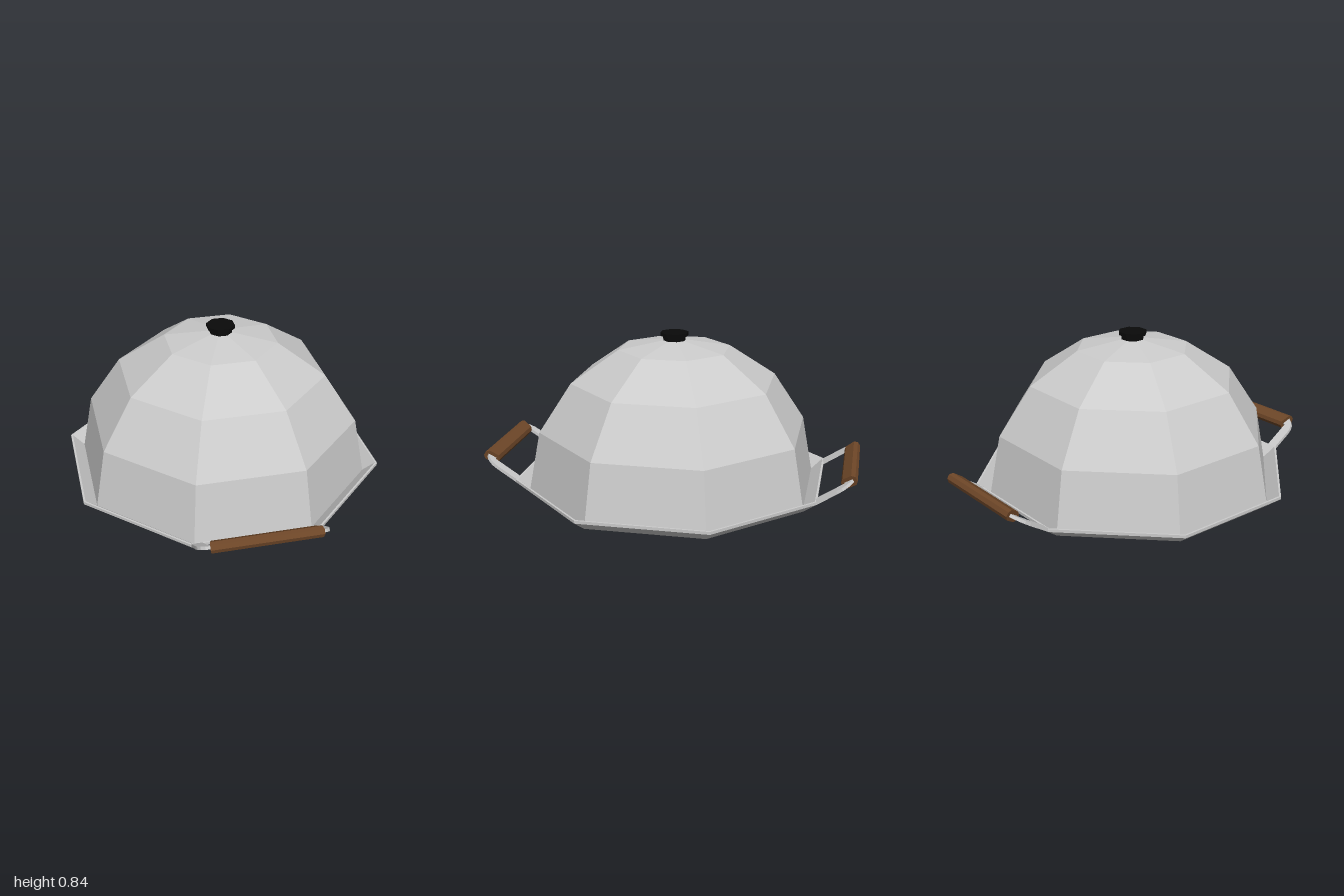
import * as THREE from 'three';

const steel = new THREE.MeshStandardMaterial({ color: 0xcccccc, flatShading: true, side: THREE.DoubleSide });
const black = new THREE.MeshStandardMaterial({ color: 0x0a0a0a, flatShading: true });
const wood = new THREE.MeshStandardMaterial({ color: 0x6e4728, flatShading: true });

// Eight-sided turned part; profile radii are measured to the flats
function octagonal(name, profile, material) {
  const k = 1 / Math.cos(Math.PI / 8);
  const points = profile.map(([r, y]) => new THREE.Vector2(r * k, y));
  const mesh = new THREE.Mesh(new THREE.LatheGeometry(points, 8, Math.PI / 8), material);
  mesh.name = name;
  return mesh;
}

// Tilted carrying handle: flat U-shaped bracket with a wooden grip
function createHandle() {
  const handle = new THREE.Group();

  const outline = new THREE.Shape();
  outline.moveTo(-0.33, 0);
  outline.lineTo(-0.33, 0.12);
  outline.quadraticCurveTo(-0.33, 0.185, -0.27, 0.213);
  outline.lineTo(0.27, 0.213);
  outline.quadraticCurveTo(0.33, 0.185, 0.33, 0.12);
  outline.lineTo(0.33, 0);
  outline.lineTo(0.275, 0);
  outline.lineTo(0.275, 0.165);
  outline.lineTo(-0.275, 0.165);
  outline.lineTo(-0.275, 0);
  outline.closePath();
  const plate = new THREE.ExtrudeGeometry(outline, { depth: 0.016, bevelEnabled: false, curveSegments: 4 });
  plate.translate(0, 0, -0.008);
  const bracket = new THREE.Mesh(plate, steel);
  bracket.name = 'handleBracket';

  // Grip section: flattened octagon, narrower towards the tray
  const section = new THREE.Shape([
    [0.012, -0.042], [0.027, -0.026], [0.027, 0.026], [0.012, 0.042],
    [-0.012, 0.042], [-0.027, 0.026], [-0.027, -0.026], [-0.012, -0.042],
  ].map(([x, y]) => new THREE.Vector2(x, y)));
  const bar = new THREE.ExtrudeGeometry(section, { depth: 2, bevelEnabled: false });
  bar.translate(0, 0, -1);
  bar.rotateY(Math.PI / 2);
  const p = bar.attributes.position;
  for (let i = 0; i < p.count; i++) p.setX(i, p.getX(i) * (0.267 + 0.26 * p.getY(i)));
  bar.computeVertexNormals();
  const grip = new THREE.Mesh(bar, wood);
  grip.name = 'handleGrip';
  grip.position.y = 0.188;

  handle.add(bracket, grip);
  handle.position.set(0, 0.0625, 0.797);
  handle.rotation.x = THREE.MathUtils.degToRad(90 - 33);
  return handle;
}

export function createModel() {
  const model = new THREE.Group();
  model.name = 'coveredDish';

  // Tray with a flared rim
  model.add(octagonal('tray', [
    [0, 0], [0.73, 0], [0.8, 0.055], [0.8, 0.07], [0.79, 0.07], [0.73, 0.015], [0, 0.015],
  ], steel));

  // Faceted dome lid
  model.add(octagonal('lid', [
    [0.73, 0.015], [0.675, 0.325], [0.515, 0.585], [0.28, 0.755], [0, 0.808],
  ], steel));

  // Lid knob
  model.add(octagonal('knob', [
    [0, 0.79], [0.056, 0.79], [0.056, 0.82], [0.07, 0.822], [0.07, 0.84], [0, 0.84],
  ], black));

  // Front and back handles
  for (const [name, turn] of [['frontHandle', 0], ['backHandle', Math.PI]]) {
    const side = new THREE.Group();
    side.name = name;
    side.rotation.y = turn;
    side.add(createHandle());
    model.add(side);
  }
  return model;
}
